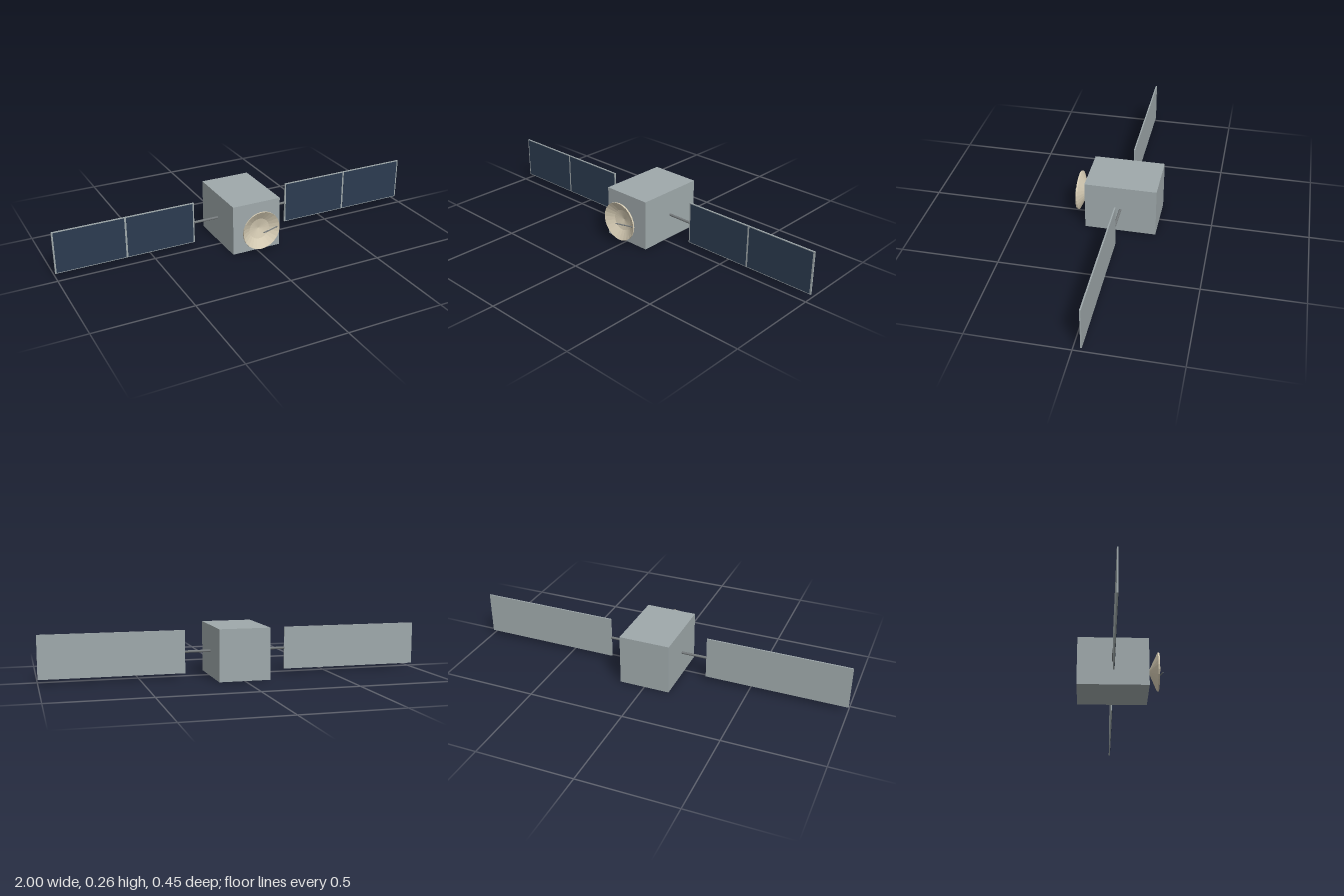
import * as THREE from 'three';

const paint = (name, color) => {
  const m = new THREE.MeshStandardMaterial({ color });
  m.name = name;
  return m;
};

export function createModel() {
  const grey = paint('hull grey', 0x9fa9ab);
  const blue = paint('solar cell blue', 0x2c3b50);
  const steel = paint('dark strut grey', 0x74797b);
  const cream = paint('dish cream', 0xd6ccb4);
  cream.flatShading = true;
  cream.side = THREE.DoubleSide;

  const model = new THREE.Group();
  model.name = 'satellite';
  const midY = 0.132, wingZ = -0.041;

  const add = (name, geometry, material, x, y, z, parent = model) => {
    const mesh = new THREE.Mesh(geometry, material);
    mesh.name = name;
    mesh.position.set(x, y, z);
    parent.add(mesh);
    return mesh;
  };

  // Straight round bar between two points
  const bar = (name, a, b, radius, material, parent) => {
    const dir = b.clone().sub(a);
    const mid = a.clone().add(b).multiplyScalar(0.5);
    const mesh = add(name, new THREE.CylinderGeometry(radius, radius, dir.length(), 12), material, mid.x, mid.y, mid.z, parent);
    mesh.quaternion.setFromUnitVectors(new THREE.Vector3(0, 1, 0), dir.normalize());
    return mesh;
  };

  // Main body
  add('body', new THREE.BoxGeometry(0.264, 0.264, 0.368), grey, 0, midY, -0.041);

  // Solar wings: boom, backing panel and two cell plates on the front
  for (const side of [1, -1]) {
    const wing = new THREE.Group();
    wing.name = side > 0 ? 'leftWing' : 'rightWing';
    model.add(wing);
    bar('boom', new THREE.Vector3(side * 0.125, midY, wingZ), new THREE.Vector3(side * 0.266, midY, wingZ), 0.0065, steel, wing);
    add('panel', new THREE.BoxGeometry(0.735, 0.222, 0.007), grey, side * 0.6325, midY, wingZ, wing);
    for (const x of [0.45, 0.815]) {
      add('solarCells', new THREE.BoxGeometry(0.355, 0.214, 0.001), blue, side * x, midY, wingZ + 0.004, wing);
    }
  }

  // Dish: straight cone behind, short rim, shallow stepped bowl inside
  const profile = [[0, 0.145], [0.102, 0.192], [0.102, 0.2], [0.055, 0.172], [0, 0.16]]
    .map(([r, z]) => new THREE.Vector2(r, z));
  const dish = add('dish', new THREE.LatheGeometry(profile, 24), cream, 0, midY, 0);
  dish.rotation.x = Math.PI / 2;

  // Slanted feed antenna in front of the dish
  bar('feedAntenna', new THREE.Vector3(0, midY, 0.223), new THREE.Vector3(0.092, midY, 0.192), 0.003, steel);

  return model;
}
